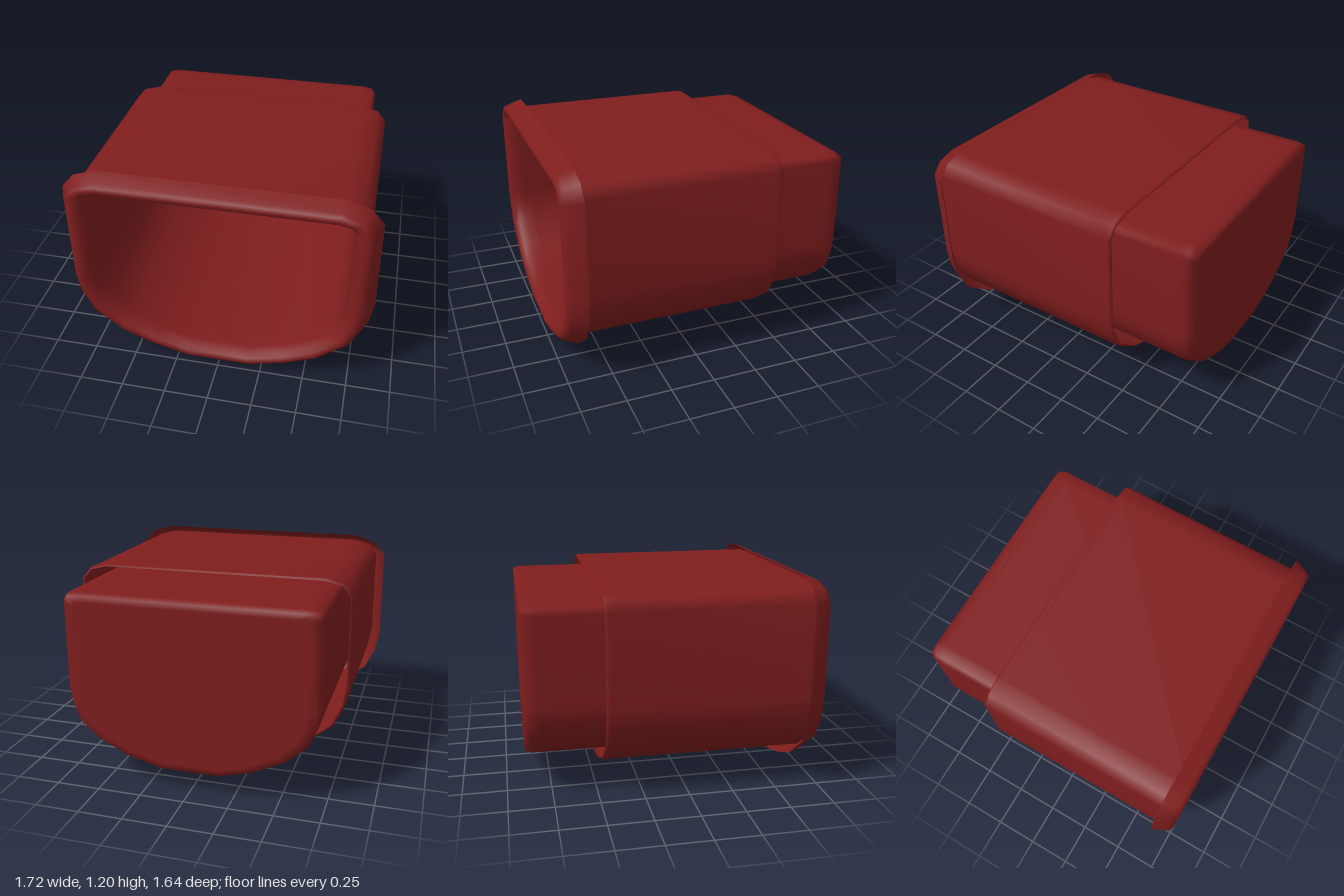
import * as THREE from 'three';

const material = new THREE.MeshStandardMaterial({ color: 0x7f1d1d, side: THREE.DoubleSide });

// Right half of the D-shaped outline, bottom to top: inner [x, y] and outer [x, y]
const half = [
  [0.17, 0.11, 0.19, 0.0], [0.36, 0.16, 0.4, 0.055], [0.53, 0.24, 0.59, 0.13],
  [0.65, 0.345, 0.77, 0.275], [0.695, 0.455, 0.835, 0.41], [0.71, 0.55, 0.858, 0.54],
  [0.71, 1.05, 0.855, 1.08], [0.69, 1.08, 0.785, 1.16], [0.62, 1.09, 0.66, 1.2],
];

// Closed outline at blend t (0 = inner, 1 = outer)
function outline(t) {
  const right = half.map(([a, b, c, d]) => [a + (c - a) * t, b + (d - b) * t]);
  const left = right.map(([x, y]) => [-x, y]).reverse();
  return [...right, ...left];
}

// Skin through rings [t, z], listed from back to front; optional flat back wall
function loft(name, rings, closeBack) {
  const positions = [], index = [];
  const n = half.length * 2;
  for (const [t, z] of rings) for (const [x, y] of outline(t)) positions.push(x, y, z);
  for (let r = 0; r < rings.length - 1; r++) {
    for (let i = 0; i < n; i++) {
      const a = r * n + i, b = r * n + (i + 1) % n;
      index.push(a, b, b + n, a, b + n, a + n);
    }
  }
  if (closeBack) {
    // A slightly smaller ring keeps the wall flat, a centre point closes it
    const start = positions.length / 3, z = rings[0][1];
    for (const [x, y] of outline(rings[0][0])) positions.push(x * 0.93, 0.6 + (y - 0.6) * 0.93, z);
    positions.push(0, 0.6, z);
    for (let i = 0; i < n; i++) {
      const j = (i + 1) % n;
      index.push(start + i, start + j, j, start + i, j, i);
      index.push(start + n, start + j, start + i);
    }
  }
  const geometry = new THREE.BufferGeometry();
  geometry.setAttribute('position', new THREE.Float32BufferAttribute(positions, 3));
  geometry.setIndex(index);
  geometry.computeVertexNormals();
  const mesh = new THREE.Mesh(geometry, material);
  mesh.name = name;
  return mesh;
}

export function createModel() {
  const group = new THREE.Group();
  group.name = 'socketCup';

  // Deep cup, rolled over at the front into an open-backed lip
  group.add(loft('cupAndLip', [
    [-0.12, -0.64], [0, -0.6], [0, -0.56], [0, 0.86], [0, 0.92], [0.08, 0.965],
    [0.25, 0.993], [0.45, 1], [0.62, 0.993], [0.75, 0.972], [1, 0.89],
  ], true));

  // Outer sleeve, open at the back with a small turned-in edge
  group.add(loft('outerSleeve', [
    [0.5, -0.215], [0.58, -0.212], [0.6, -0.2], [0.6, -0.17], [0.6, 0.95],
  ], false));

  return group;
}
